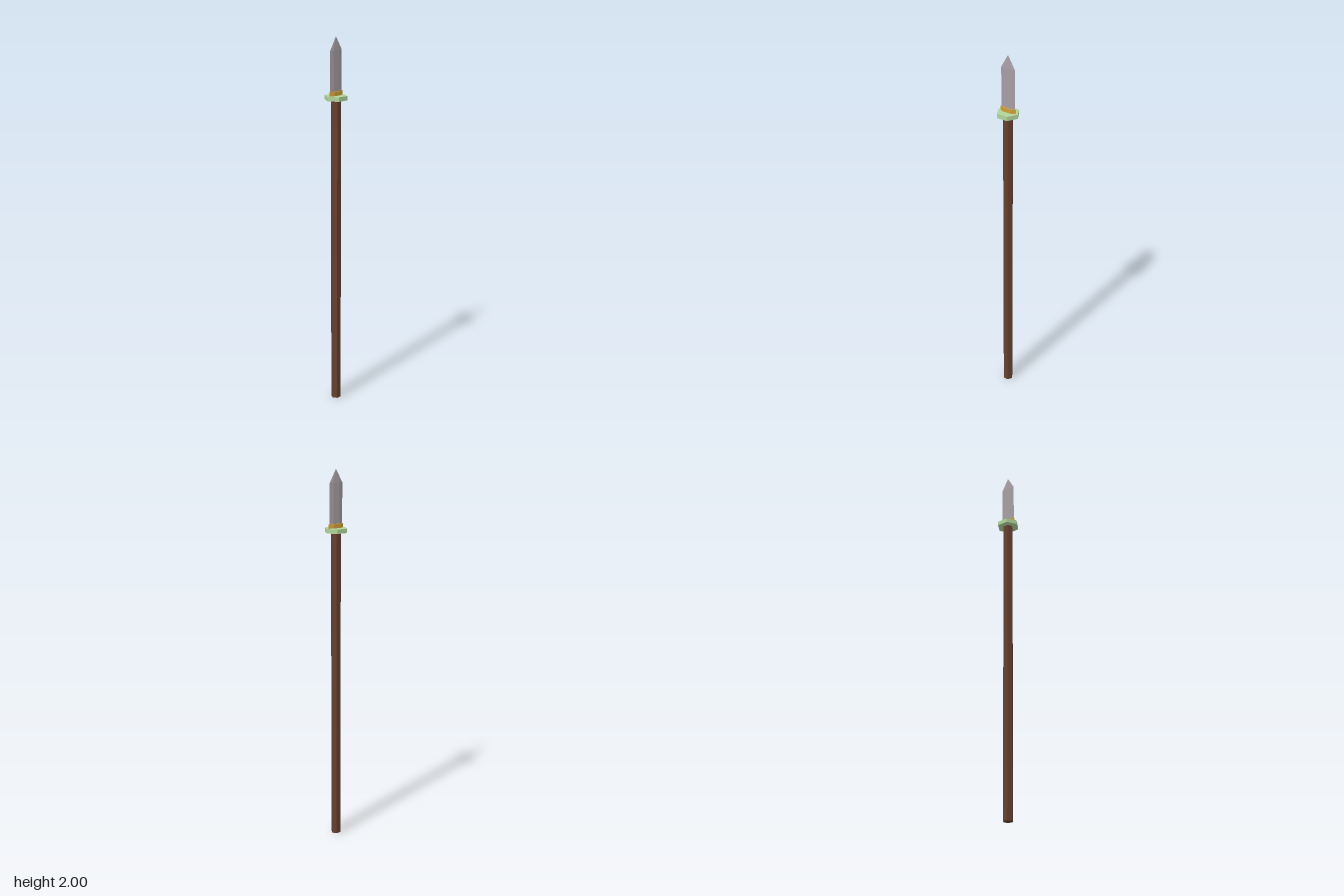
import * as THREE from 'three';

// Six-sided solid turned from [radius, y] points, with corners on +z and -z; flatten squeezes it in x.
function hexSolid(name, color, profile, flatten = 1) {
  const points = profile.map(([r, y]) => new THREE.Vector2(r, y));
  const geometry = new THREE.LatheGeometry(points, 6);
  geometry.scale(flatten, 1, 1);
  const flat = geometry.toNonIndexed();
  flat.computeVertexNormals();
  const mesh = new THREE.Mesh(flat, new THREE.MeshStandardMaterial({ color, flatShading: true }));
  mesh.name = name;
  return mesh;
}

// Closed straight prism between two heights
const prism = (r, y0, y1) => [[0, y0], [r, y0], [r, y1], [0, y1]];

export function createModel() {
  const spear = new THREE.Group();
  spear.name = 'spear';

  // Wooden pole and the wide guard on top of it
  spear.add(hexSolid('shaft', 0x65402f, prism(0.027, 0, 1.68)));
  spear.add(hexSolid('guard', 0xb2d59c, prism(0.06, 1.677, 1.7)));

  // Flattened collar holding the blade
  spear.add(hexSolid('collar', 0xd0a036, prism(0.047, 1.7, 1.722), 0.3));

  // Thin blade, straight-sided and then tapering to the point
  spear.add(hexSolid('blade', 0xa69ea2, [[0, 1.72], [0.041, 1.72], [0.041, 1.93], [0, 2]], 0.14));

  return spear;
}
